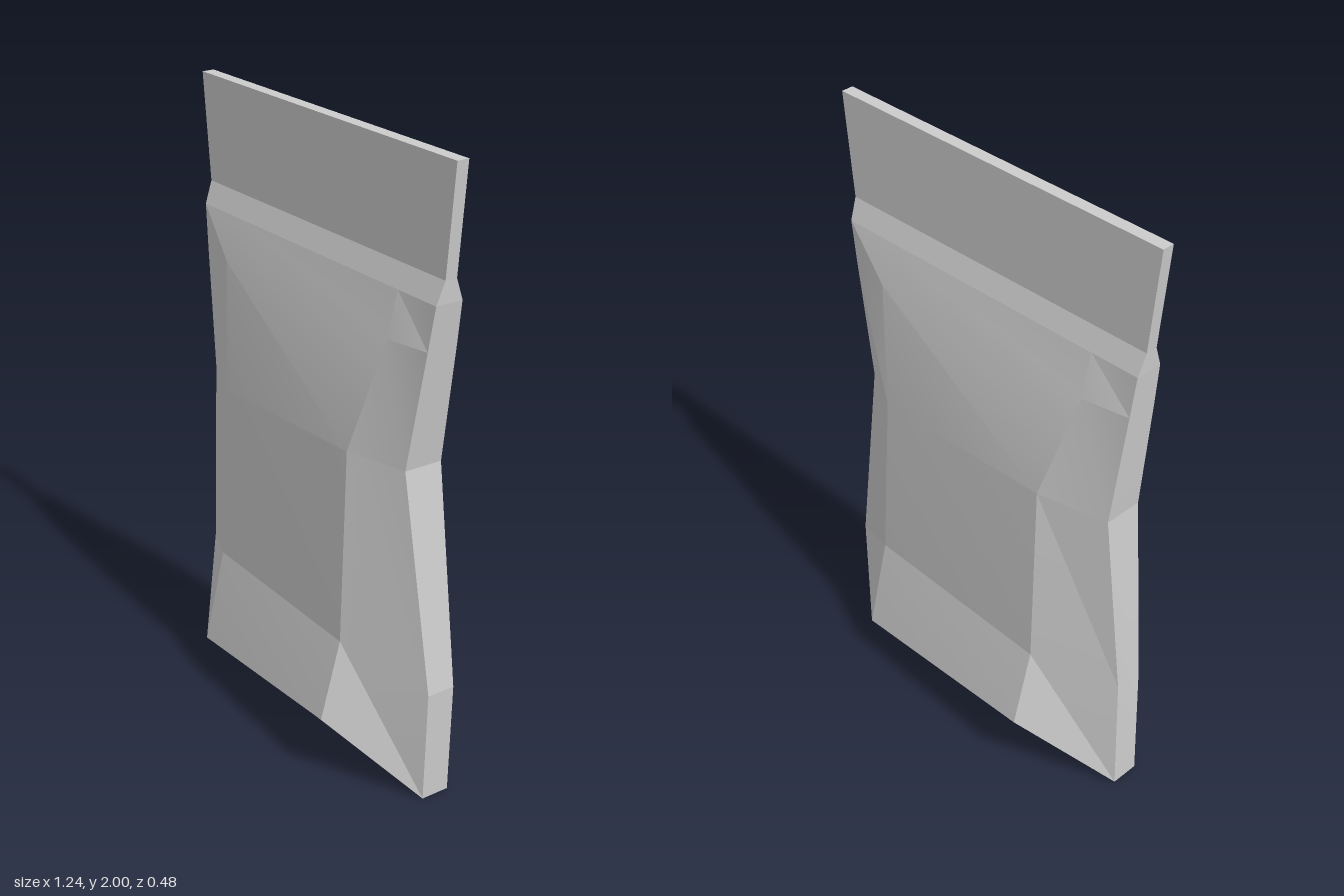
import * as THREE from 'three';
import { toCreasedNormals } from 'three/addons/utils/BufferGeometryUtils.js';

// Build one smooth-shaded mesh from a list of quads (counter-clockwise corners)
function quadMesh(name, quads, material, crease) {
  const pos = [];
  for (const [a, b, c, d] of quads) pos.push(...a, ...b, ...c, ...a, ...c, ...d);
  const geo = new THREE.BufferGeometry();
  geo.setAttribute('position', new THREE.Float32BufferAttribute(pos, 3));
  const mesh = new THREE.Mesh(toCreasedNormals(geo, crease), material);
  mesh.name = name;
  return mesh;
}

// Ring of eight points: the back bulge is the front bulge turned half round.
// Each point is [x, y, z]; far is the depth of the edge strip on its shallow side.
function ring({ left, right, innerLeft, innerRight, near, far }) {
  const turn = ([x, y, z]) => [-x, y, -z];
  return [
    [...left, far], innerLeft, innerRight, [...right, near],
    [...right, -far], turn(innerLeft), turn(innerRight), [...left, -near],
  ];
}

// Straight section, used for the flat upper part
function flatRing(y, halfWidth, z) {
  return ring({
    left: [-halfWidth, y], right: [halfWidth, y],
    innerLeft: [-0.41, y, z], innerRight: [0.41, y, z], near: z, far: z,
  });
}

// Side walls between two consecutive rings, upper one first
function walls(upper, lower) {
  return upper.map((p, i) => {
    const j = (i + 1) % upper.length;
    return [p, lower[i], lower[j], upper[j]];
  });
}

export function createModel() {
  const group = new THREE.Group();
  group.name = 'pouch';
  const foil = new THREE.MeshStandardMaterial({ color: 0xcccccc });
  foil.name = 'light grey foil';

  // Sections from the top edge down to the base
  const top = flatRing(2, 0.62, 0.02);
  const sealEnd = flatRing(1.66, 0.585, 0.02);
  const shoulder = flatRing(1.59, 0.58, 0.046);
  const chest = ring({
    left: [-0.565, 1.45], right: [0.557, 1.45],
    innerLeft: [-0.41, 1.45, 0.08], innerRight: [0.41, 1.45, 0.08], near: 0.053, far: 0.05,
  });
  const waist = ring({
    left: [-0.52, 1.06], right: [0.49, 1.07],
    innerLeft: [-0.37, 1.04, 0.115], innerRight: [0.3, 1.08, 0.137], near: 0.07, far: 0.06,
  });
  const belly = ring({
    left: [-0.575, 0.42], right: [0.595, 0.37],
    innerLeft: [-0.4, 0.45, 0.127], innerRight: [0.315, 0.465, 0.17], near: 0.05, far: 0.045,
  });
  const base = ring({
    left: [-0.582, 0], right: [0.58, 0],
    innerLeft: [-0.415, 0.14, 0.19], innerRight: [0.312, 0.212, 0.238], near: 0.05, far: 0.045,
  });

  // Flat seal with its top edge
  group.add(quadMesh('topSeal', [
    ...walls(top, sealEnd),
    [top[0], top[3], top[4], top[7]],
  ], foil, 0.08));

  // Slope from the seal to the filled part
  group.add(quadMesh('shoulderSlope', walls(sealEnd, shoulder), foil, 0.08));

  // Filled body: softly rounded above the waist, creased below
  group.add(quadMesh('upperBody', [...walls(shoulder, chest), ...walls(chest, waist)], foil, 0.2));
  group.add(quadMesh('lowerBody', [...walls(waist, belly), ...walls(belly, base)], foil, 0.12));

  // Underside: narrow foot and the two slanted bottom panels
  group.add(quadMesh('underside', [
    [base[7], base[4], base[3], base[0]],
    [base[0], base[3], base[2], base[1]],
    [base[4], base[7], base[6], base[5]],
  ], foil, 0.12));

  return group;
}
